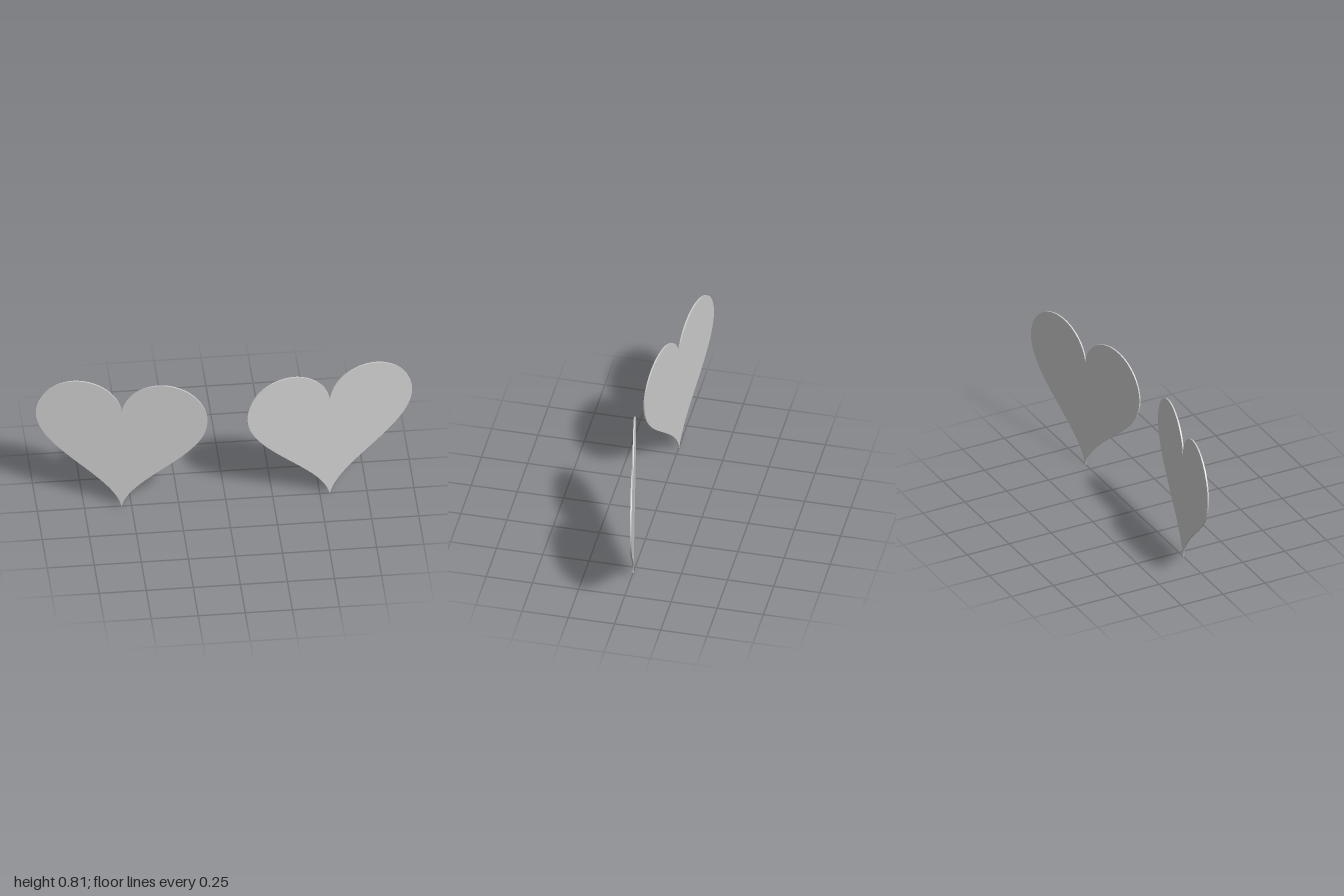
import * as THREE from 'three';

const THICKNESS = 0.008;
const TILT = 0.194; // each heart turns its face slightly outward

// Heart outline with a cusped tip at the origin
function heartShape() {
  const s = new THREE.Shape();
  s.moveTo(0, 0);
  s.bezierCurveTo(0.04, 0.2, 0.455, 0.36, 0.455, 0.59);
  s.bezierCurveTo(0.455, 0.712, 0.352, 0.81, 0.226, 0.81);
  s.bezierCurveTo(0.11, 0.81, 0.012, 0.725, 0, 0.625);
  s.bezierCurveTo(-0.012, 0.725, -0.11, 0.81, -0.226, 0.81);
  s.bezierCurveTo(-0.352, 0.81, -0.455, 0.712, -0.455, 0.59);
  s.bezierCurveTo(-0.455, 0.36, -0.04, 0.2, 0, 0);
  return s;
}

export function createModel() {
  const group = new THREE.Group();
  const material = new THREE.MeshStandardMaterial({ color: 0xcccccc });

  // Thin plate, centred on its own thickness
  const plate = new THREE.ExtrudeGeometry(heartShape(), {
    depth: THICKNESS, bevelEnabled: false, curveSegments: 24,
  });
  plate.translate(0, 0, -THICKNESS / 2);

  // Mirrored pair
  for (const side of [1, -1]) {
    const heart = new THREE.Mesh(plate, material);
    heart.name = side > 0 ? 'leftHeart' : 'rightHeart';
    heart.position.x = side * 0.552;
    heart.rotation.y = side * TILT;
    group.add(heart);
  }
  return group;
}
